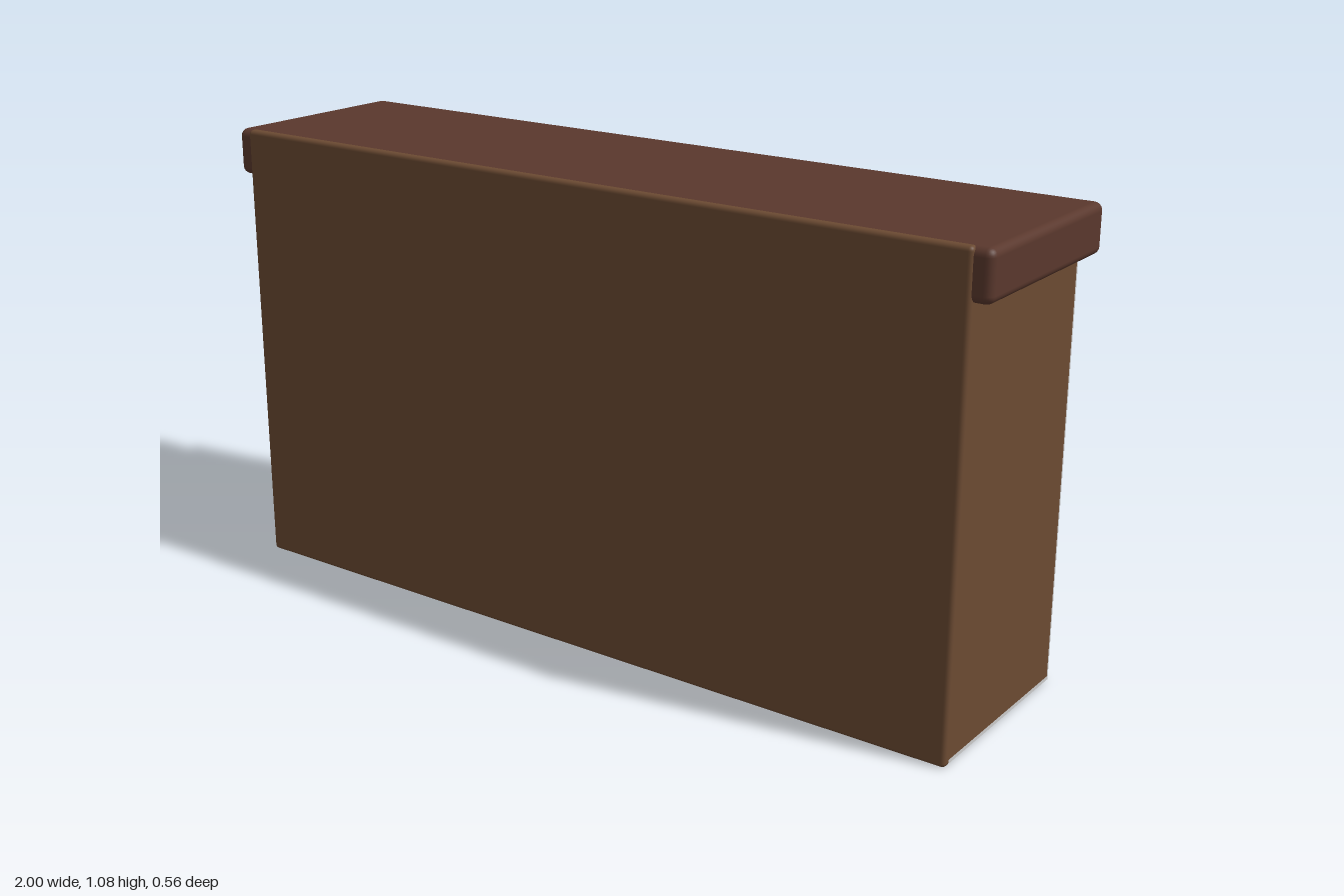
import * as THREE from 'three';
import { RoundedBoxGeometry } from 'three/addons/geometries/RoundedBoxGeometry.js';

const mat = (color) => new THREE.MeshStandardMaterial({ color });

export function createModel() {
  const group = new THREE.Group();
  const grey = mat(0xcccccc);
  const walnut = mat(0x6b4a32);
  const dark = mat(0x5a382d);
  const oak = mat(0x96693f);
  const mint = mat(0x8fb5a8);
  const brass = mat(0xb0935a);

  // Box given by its extents along each axis; a radius rounds its edges
  function box(name, material, [x0, x1], [y0, y1], [z0, z1], radius = 0) {
    const size = [x1 - x0, y1 - y0, z1 - z0];
    const geometry = radius
      ? new RoundedBoxGeometry(...size, 3, radius)
      : new THREE.BoxGeometry(...size);
    const mesh = new THREE.Mesh(geometry, material);
    mesh.name = name;
    mesh.position.set((x0 + x1) / 2, (y0 + y1) / 2, (z0 + z1) / 2);
    group.add(mesh);
    return mesh;
  }

  // Carcass with its large face panel, base and worktop
  box('carcass', grey, [-0.957, 0.957], [0.002, 1.079], [-0.207, 0.262]);
  box('facePanel', walnut, [-0.96, 0.96], [0, 1.081], [0.255, 0.281], 0.01);
  box('basePanel', walnut, [-0.945, 0.945], [0, 0.03], [-0.195, 0.262]);
  box('worktop', dark, [-1, 1], [0.97, 1.08], [-0.222, 0.275], 0.018);

  // Plinth strip and brass foot rail under the doors
  box('plinthStrip', walnut, [-0.945, 0.945], [0.012, 0.045], [-0.2085, -0.19]);
  box('footRail', brass, [-0.815, 0.815], [0.086, 0.116], [-0.232, -0.205], 0.008);

  // Mirrored parts
  for (const s of [-1, 1]) {
    const span = (a, b) => (s > 0 ? [a, b] : [-b, -a]);
    const side = s > 0 ? 'left' : 'right';
    box(side + 'SidePanel', walnut, span(0.93, 0.9595), [0.014, 1.06], [-0.196, 0.262]);
    box(side + 'EdgeStrip', walnut, span(0.925, 0.943), [0.045, 0.97], [-0.2085, -0.19]);
    box(side + 'Pilaster', oak, span(0.808, 0.905), [0.11, 0.93], [-0.238, -0.2], 0.01);
    box(side + 'Door', mint, span(0.064, 0.89), [0.145, 0.985], [-0.248, -0.215], 0.006);
    box(side + 'FrameStile', dark, span(0.712, 0.75), [0.2, 0.843], [-0.271, -0.244], 0.006);

    // Upright brass handle
    const handle = new THREE.Mesh(new THREE.CylinderGeometry(0.014, 0.014, 0.175, 20), brass);
    handle.name = side + 'Handle';
    handle.position.set(s * 0.54, 0.565, -0.266);
    group.add(handle);
  }

  // Horizontal rails of the applied frame
  box('frameBottomRail', dark, [-0.735, 0.735], [0.203, 0.238], [-0.269, -0.244], 0.006);
  box('frameTopRail', dark, [-0.735, 0.735], [0.805, 0.84], [-0.269, -0.244], 0.006);

  return group;
}
